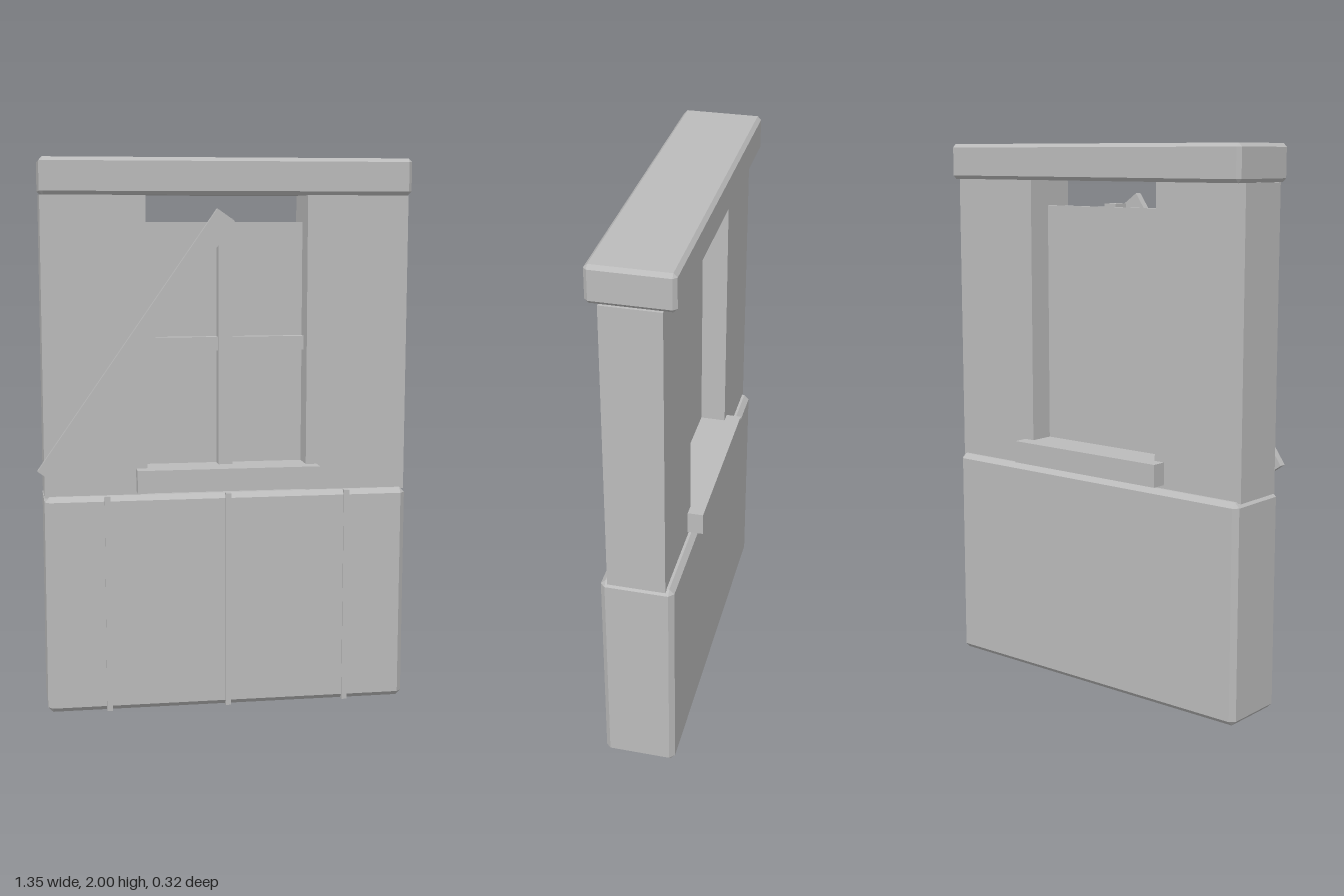
import * as THREE from 'three';
import { ConvexGeometry } from 'three/addons/geometries/ConvexGeometry.js';

const CX = 0.01; // wall centre in x (the loose plank sticks out on one side)

// Box with every edge chamfered by c
function chamferBox(w, h, d, c) {
  const pts = [];
  for (const x of [-1, 1]) for (const y of [-1, 1]) for (const z of [-1, 1]) {
    const X = w / 2, Y = h / 2, Z = d / 2;
    pts.push(
      new THREE.Vector3(x * X, y * (Y - c), z * (Z - c)),
      new THREE.Vector3(x * (X - c), y * Y, z * (Z - c)),
      new THREE.Vector3(x * (X - c), y * (Y - c), z * Z)
    );
  }
  return new ConvexGeometry(pts);
}

export function createModel() {
  const group = new THREE.Group();
  group.name = 'windowWall';
  const plaster = new THREE.MeshStandardMaterial({ color: 0xbbbbbb });
  plaster.name = 'plain grey';

  const add = (name, geometry, x, y, z) => {
    const mesh = new THREE.Mesh(geometry, plaster);
    mesh.name = name;
    mesh.position.set(x, y, z);
    group.add(mesh);
    return mesh;
  };
  // Plain box given by its limits
  const box = (name, x0, x1, y0, y1, z0, z1) =>
    add(name, new THREE.BoxGeometry(x1 - x0, y1 - y0, z1 - z0),
      (x0 + x1) / 2, (y0 + y1) / 2, (z0 + z1) / 2);

  // Lower wall and top beam
  add('lowerWall', chamferBox(1.328, 0.8, 0.26, 0.018), CX, 0.4, 0);
  add('topBeam', chamferBox(1.33, 0.13, 0.29, 0.013), CX, 1.935, 0);

  // Thin upright strips on the front of the lower wall
  for (const x of [-0.44, 0, 0.44])
    box('wallStrip', CX + x - 0.01, CX + x + 0.01, 0, 0.8, 0.11, 0.135);

  // Piers on both sides of the opening
  for (const s of [-1, 1])
    add(s < 0 ? 'rightPier' : 'leftPier', new THREE.BoxGeometry(0.371, 1.075, 0.205), CX + s * 0.4775, 1.3325, 0);

  // Window: sill, pane and glazing bars
  box('sill', CX - 0.333, CX + 0.333, 0.813, 0.895, -0.158, 0.158);
  box('pane', CX - 0.293, CX + 0.293, 0.83, 1.775, -0.01, 0.01);
  box('uprightBar', CX - 0.026, CX + 0.026, 0.85, 1.787, 0, 0.06);
  box('crossBar', CX - 0.293, CX + 0.293, 1.312, 1.362, 0, 0.045);

  // Leaning plank nailed across the front
  const plank = add('plank', new THREE.BoxGeometry(0.076, 1.13, 0.026), -0.322, 1.338, 0.115);
  plank.rotation.z = -0.611;

  return group;
}
